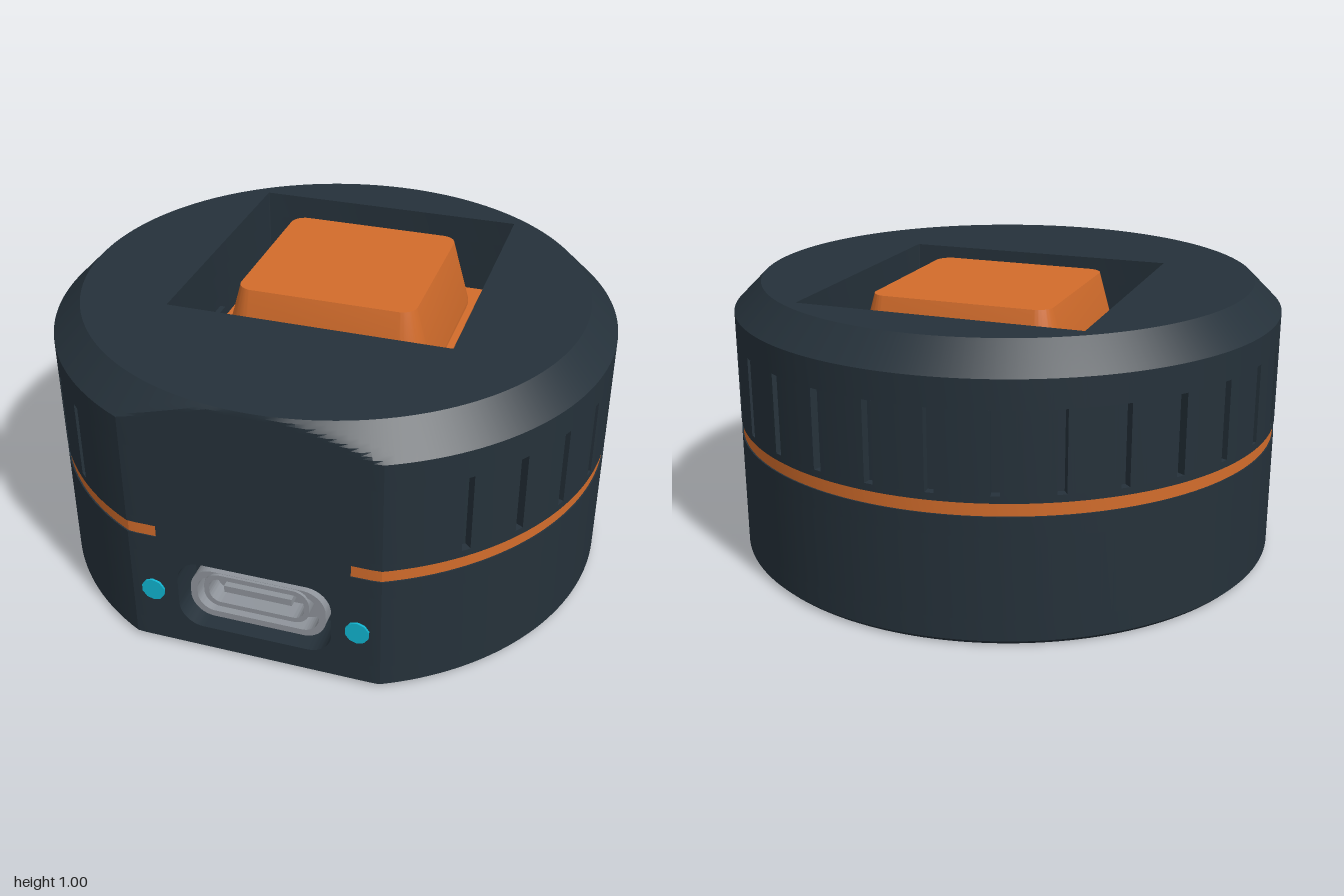
import * as THREE from 'three';
import { toCreasedNormals } from 'three/addons/utils/BufferGeometryUtils.js';

const FLAT = 0.901;      // distance of the flat front face from the body axis
const KEY_Z = -0.176;    // centre of the key pocket, relative to the axis
const RAD = Math.PI / 180;

const mat = (name, color) => {
  const m = new THREE.MeshStandardMaterial({ color });
  m.name = name;
  return m;
};

// Plan outline (x, -z): circle cut by the flat front, optional grip notches or port bay
function outline(r, { flat = FLAT, grips = false, bay = 0 } = {}) {
  const pts = [];
  const add = (deg, rad) => pts.push(new THREE.Vector2(
    rad * Math.sin(deg * RAD), Math.max(-rad * Math.cos(deg * RAD), -flat)));
  if (bay) pts.push(new THREE.Vector2(bay, -0.75), new THREE.Vector2(bay, -flat));
  for (let d = 0; d < 360; d += 2) {
    if (bay && Math.cos(d * RAD) > 0 && Math.abs(Math.sin(d * RAD)) <= bay) continue;
    if (grips && d % 12 === 6 && d >= 42 && d <= 318) {
      add(d - 0.9, r); add(d - 0.8, r - 0.03); add(d + 0.8, r - 0.03); add(d + 0.9, r);
    } else add(d, r);
  }
  if (bay) pts.push(new THREE.Vector2(-bay, -flat), new THREE.Vector2(-bay, -0.75));
  return pts;
}

// Rounded rectangle centred on (cx, cy)
function roundRect(hw, hh, r, cx = 0, cy = 0, Type = THREE.Shape) {
  const s = new Type();
  s.moveTo(cx + hw, cy - hh + r);
  s.absarc(cx + hw - r, cy + hh - r, r, 0, Math.PI / 2);
  s.absarc(cx - hw + r, cy + hh - r, r, Math.PI / 2, Math.PI);
  s.absarc(cx - hw + r, cy - hh + r, r, Math.PI, Math.PI * 1.5);
  s.absarc(cx + hw - r, cy - hh + r, r, Math.PI * 1.5, Math.PI * 2);
  return s;
}

// Horizontal slab from y0 to y1
function slab(shape, y0, y1) {
  const g = new THREE.ExtrudeGeometry(shape, { depth: y1 - y0, bevelEnabled: false, curveSegments: 10 });
  g.rotateX(-Math.PI / 2).translate(0, y0, 0);
  return toCreasedNormals(g, 0.35);
}

// Plate facing the front from z0 to z1
function facing(shape, z0, z1) {
  const g = new THREE.ExtrudeGeometry(shape, { depth: z1 - z0, bevelEnabled: false, curveSegments: 10 });
  return toCreasedNormals(g.translate(0, 0, z0), 0.5);
}

// Skin through plan outlines stacked in height
function skin(rings) {
  const pos = [];
  for (let k = 0; k < rings.length - 1; k++) {
    const [a, b] = [rings[k], rings[k + 1]];
    const n = a.pts.length;
    for (let i = 0; i < n; i++) {
      const j = (i + 1) % n;
      for (const [ring, q] of [[a, i], [a, j], [b, j], [a, i], [b, j], [b, i]])
        pos.push(ring.pts[q].x, ring.y, -ring.pts[q].y);
    }
  }
  const g = new THREE.BufferGeometry();
  g.setAttribute('position', new THREE.Float32BufferAttribute(pos, 3));
  return toCreasedNormals(g, 0.35);
}

export function createModel() {
  const dark = mat('slate casing', 0x25313a);
  const orange = mat('orange', 0xd26c2b);
  const grey = mat('port metal', 0x8f949b);
  const cyan = mat('cyan light', 0x10b4d0);
  const darkOpen = mat('screw hole slate', 0x25313a);
  darkOpen.side = THREE.DoubleSide;

  const model = new THREE.Group();
  model.name = 'roundKeypad';
  const body = new THREE.Group();
  body.name = 'body';
  body.position.z = 0.046;
  model.add(body);
  const add = (name, geo, m) => {
    const mesh = new THREE.Mesh(geo, m);
    mesh.name = name;
    body.add(mesh);
    return mesh;
  };

  const plan = (pts, ...holes) => {
    const s = new THREE.Shape(pts);
    s.holes.push(...holes);
    return s;
  };
  const pocket = () => roundRect(0.508, 0.51, 0.004, 0, -KEY_Z, THREE.Path);
  const screws = (r) => [1, -1].map((s) => {
    const p = new THREE.Path();
    p.absarc(s * 0.77, -0.085, r, 0, Math.PI * 2);
    return p;
  });

  // Lower casing with screw holes and a bay for the port
  const foot = { flat: FLAT - 0.015 };
  add('base', slab(plan(outline(0.985, foot), ...screws(0.135)), 0, 0.08), dark);
  add('baseChamfer', skin([{ y: 0, pts: outline(0.985, foot) }, { y: 0.015, pts: outline(1) }]), dark);
  add('lowerCasing', slab(plan(outline(1), ...screws(0.135)), 0.015, 0.09), dark);
  add('portLevelCasing', slab(plan(outline(1, { bay: 0.3 }), ...screws(0.085)), 0.09, 0.38), dark);
  add('lowerCasingTop', slab(plan(outline(1)), 0.38, 0.45), dark);

  // Countersunk screw holes
  const sink = [[0.135, 0], [0.08, 0.06], [0.08, 0.38]].map((p) => new THREE.Vector2(...p));
  for (const s of [1, -1])
    add('screwHole', toCreasedNormals(new THREE.LatheGeometry(sink, 28), 0.5), darkOpen).position.set(s * 0.77, 0, 0.085);

  // Accent ring, interrupted at the front
  add('accentRing', slab(plan(outline(0.995, { flat: FLAT - 0.004 })), 0.45, 0.495), orange);
  const bridge = new THREE.BoxGeometry(0.67, 0.045, 0.2);
  add('ringBridge', bridge, dark).position.set(0, 0.4725, FLAT - 0.1);

  // Upper casing: pocket floor, grip band, shoulder and chamfered top
  add('pocketFloor', slab(plan(outline(1)), 0.495, 0.52), dark);
  add('gripBand', slab(plan(outline(1, { grips: true }), pocket()), 0.52, 0.8), dark);
  add('shoulder', slab(plan(outline(1), pocket()), 0.8, 0.9), dark);
  add('topPlate', slab(plan(outline(0.9), pocket()), 0.9, 1), dark);
  const rings = [];
  for (let i = 0; i <= 10; i++) rings.push({ y: 0.9 + i * 0.01, pts: outline(1 - i * 0.01) });
  add('topChamfer', skin(rings), dark);

  // Key carrier with clipped rear corners
  const c = 0.503, cut = 0.07, back = 0.495;
  const carrier = [[-c, -c], [c, -c], [c, back - cut], [c - cut, back], [cut - c, back], [-c, back - cut]]
    .map(([x, y]) => new THREE.Vector2(x, y - KEY_Z));
  add('keyCarrier', slab(plan(carrier), 0.65, 0.7), orange);
  add('carrierStep', slab(roundRect(0.49, 0.485, 0.06, 0, -KEY_Z), 0.7, 0.71), orange);
  add('keyFlange', slab(roundRect(0.413, 0.413, 0.03, 0, -KEY_Z), 0.71, 0.74), orange);

  // Tapered key, its top level with the casing
  const key = new THREE.ExtrudeGeometry(roundRect(0.325, 0.322, 0.055), {
    depth: 0.01, bevelThickness: 0.24, bevelSize: 0.065, bevelSegments: 1, curveSegments: 8,
  });
  key.rotateX(-Math.PI / 2).translate(0, 0.75, KEY_Z);
  add('key', toCreasedNormals(key, 0.4), orange);

  // Carrier slots, side clips, status lights
  for (const s of [1, -1]) {
    add('carrierSlot', new THREE.BoxGeometry(0.065, 0.05, 0.085), dark).position.set(s * 0.33, 0.69, 0.29);
    add('sideClip', new THREE.BoxGeometry(0.025, 0.12, 0.065), dark).position.set(s * 0.5, 0.7, -0.095);
    const light = new THREE.CylinderGeometry(0.042, 0.042, 0.06, 10).rotateX(Math.PI / 2);
    add('statusLight', toCreasedNormals(light, 0.7), cyan).position.set(s * 0.36, 0.225, FLAT - 0.022);
  }

  // Port surround
  const surround = roundRect(0.3, 0.145, 0.001, 0, 0.235);
  surround.holes.push(roundRect(0.27, 0.134, 0.085, 0, 0.235, THREE.Path));
  add('portSurround', facing(surround, 0.74, FLAT), dark);

  // Metal connector: housing, inner shell and tongue
  const ringShape = (hw, hh, cy, wall) => {
    const s = roundRect(hw, hh, hh * 0.85, 0, cy);
    s.holes.push(roundRect(hw - wall, hh - wall, (hh - wall) * 0.85, 0, cy, THREE.Path));
    return s;
  };
  add('portBack', facing(roundRect(0.235, 0.09, 0.07, 0, 0.221), 0.745, 0.8), grey);
  add('portHousing', facing(ringShape(0.24, 0.096, 0.222, 0.024), 0.745, 0.865), grey);
  add('portShell', facing(ringShape(0.186, 0.066, 0.251, 0.018), 0.745, 0.875), grey);
  add('portTongue', new THREE.BoxGeometry(0.24, 0.026, 0.1), grey).position.set(0, 0.251, 0.81);

  return model;
}
